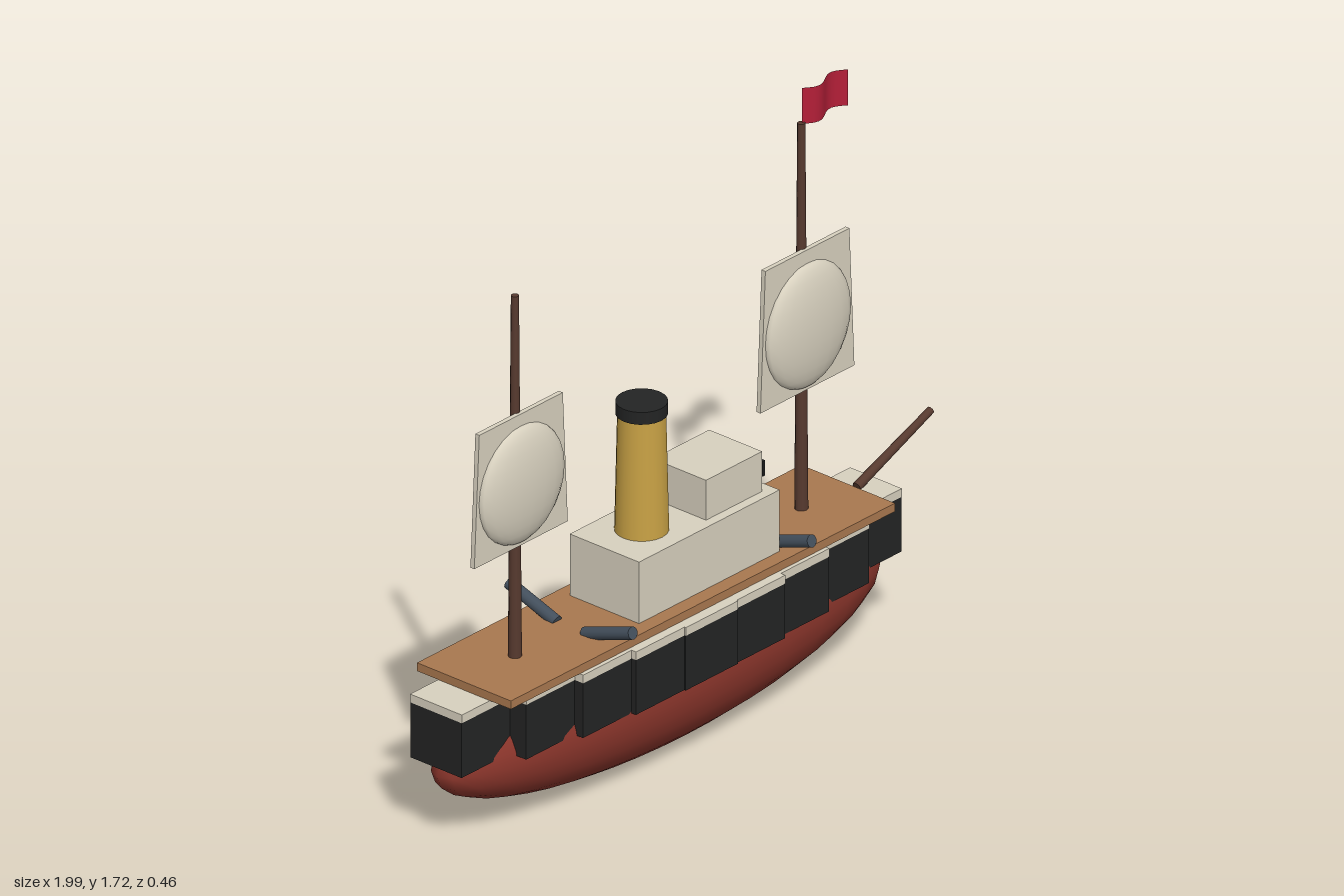
import * as THREE from 'three';

const paint = (name, color) => {
  const m = new THREE.MeshStandardMaterial({ color });
  m.name = name;
  return m;
};

export function createModel() {
  const ship = new THREE.Group();
  ship.name = 'ship';

  const hullRed = paint('hull red', 0x8a352b);
  const black = paint('black', 0x232424);
  const cream = paint('cream', 0xd8d1bf);
  const deckWood = paint('deck wood', 0xa9784f);
  const darkWood = paint('dark wood', 0x573a2f);
  const brass = paint('funnel yellow', 0xc9a245);
  const steel = paint('gun steel', 0x434f5c);
  const flagRed = paint('flag red', 0xb41f38);
  flagRed.side = THREE.DoubleSide;

  const add = (name, geometry, material, x = 0, y = 0, z = 0) => {
    const mesh = new THREE.Mesh(geometry, material);
    mesh.name = name;
    mesh.position.set(x, y, z);
    ship.add(mesh);
    return mesh;
  };
  // Box given by its x range, y range and half depth
  const block = (name, material, x0, x1, y0, y1, halfZ) =>
    add(name, new THREE.BoxGeometry(x1 - x0, y1 - y0, halfZ * 2), material, (x0 + x1) / 2, (y0 + y1) / 2);
  // Tapered round bar between two points
  const bar = (name, material, from, to, r0, r1, sides = 10) => {
    const a = new THREE.Vector3(...from), b = new THREE.Vector3(...to);
    const dir = b.clone().sub(a);
    const mesh = add(name, new THREE.CylinderGeometry(r1, r0, dir.length(), sides), material);
    mesh.position.copy(a).add(b).multiplyScalar(0.5);
    mesh.quaternion.setFromUnitVectors(new THREE.Vector3(0, 1, 0), dir.normalize());
    return mesh;
  };

  // Rounded lower hull
  const midX = -0.1125;
  add('lowerHull', new THREE.SphereGeometry(1, 32, 16).scale(0.88, 0.21, 0.195), hullRed, midX, 0.22, 0);

  // Stepped side plating with a pale rail on each section
  for (let i = -4; i <= 4; i++) {
    const x = midX + i * 0.195;
    const halfZ = 0.2 * Math.sqrt(1 - (i / 4.5) ** 2);
    block('hullPlating', black, x - 0.105, x + 0.105, 0.25, 0.415, halfZ);
    block('rail', cream, x - 0.105, x + 0.105, 0.415, 0.44, halfZ + 0.001);
  }

  // Deck and superstructure
  block('deck', deckWood, -0.885, 0.66, 0.44, 0.465, 0.168);
  block('cabin', cream, -0.32, 0.245, 0.46, 0.65, 0.124);
  block('bridge', cream, -0.018, 0.208, 0.65, 0.77, 0.095);
  for (const z of [-0.075, 0, 0.075]) {
    add('bridgeWindow', new THREE.BoxGeometry(0.009, 0.046, 0.045), black, 0.212, 0.718, z);
  }

  // Funnel
  add('funnel', new THREE.CylinderGeometry(0.066, 0.074, 0.36, 20), brass, -0.17, 0.825, 0);
  add('funnelCap', new THREE.CylinderGeometry(0.071, 0.071, 0.037, 20), black, -0.17, 1.018, 0);

  // Guns pointing out over both sides
  for (const x of [-0.455, 0.265]) {
    for (const s of [-1, 1]) {
      bar('gun', steel, [x, 0.463, s * 0.05], [x, 0.522, s * 0.222], 0.018, 0.018, 12);
    }
  }

  // Masts, each with a square sail and its billow
  const rig = (x, top, y0, y1, wBottom, wTop, billowY, billowR) => {
    bar('mast', darkWood, [x, 0.45, 0], [x, top, 0], 0.019, 0.011);
    const shape = new THREE.Shape();
    shape.moveTo(-wBottom, y0);
    shape.lineTo(wBottom, y0);
    shape.lineTo(wTop, y1);
    shape.lineTo(-wTop, y1);
    const sail = new THREE.ExtrudeGeometry(shape, { depth: 0.014, bevelEnabled: false });
    add('sail', sail, cream, x, 0, 0.008);
    add('sailBillow', new THREE.SphereGeometry(1, 20, 14).scale(0.171, billowR, 0.046), cream, x, billowY, 0.019);
  };
  rig(-0.68, 1.55, 0.805, 1.2, 0.188, 0.168, 0.99, 0.175);
  rig(0.472, 1.625, 0.83, 1.25, 0.189, 0.169, 1.025, 0.186);

  // Bowsprit
  bar('bowsprit', darkWood, [0.695, 0.443, 0], [0.993, 0.56, 0], 0.014, 0.011);

  // Waving flag
  const flag = new THREE.PlaneGeometry(0.186, 0.108, 12, 1);
  const p = flag.attributes.position;
  for (let i = 0; i < p.count; i++) {
    const t = p.getX(i) / 0.186 + 0.5;
    p.setZ(i, 0.019 * Math.sin(t * Math.PI * 2));
    p.setY(i, p.getY(i) - 0.016 * t);
  }
  flag.computeVertexNormals();
  add('flag', flag, flagRed, 0.567, 1.675, 0);

  return ship;
}
